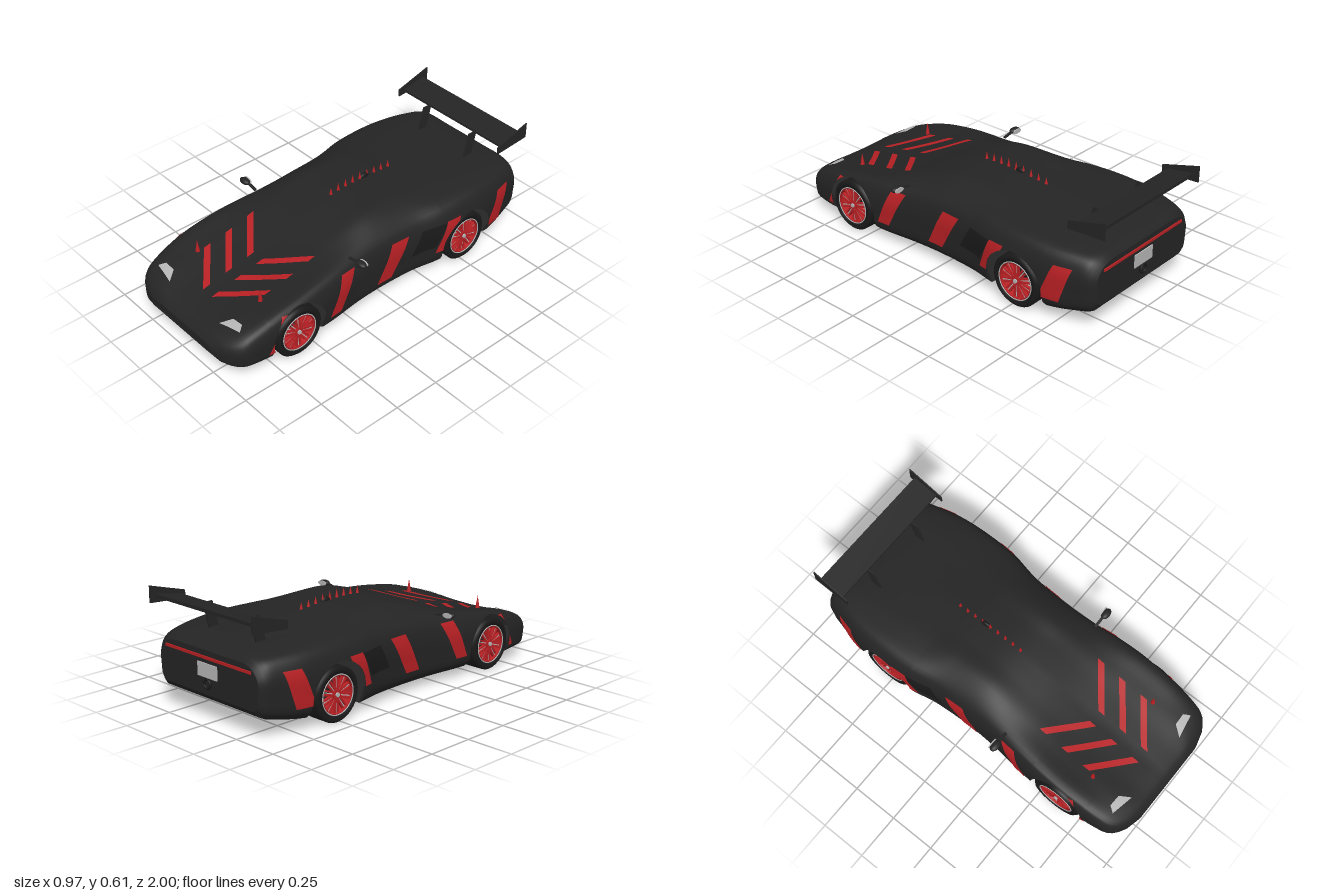
import * as THREE from 'three';

const mat = (name, color, side = THREE.FrontSide) => {
  const m = new THREE.MeshStandardMaterial({ color, side });
  m.name = name;
  return m;
};
const BLACK = mat('body black', 0x242424, THREE.DoubleSide);
const TRIM = mat('trim black', 0x1a1a1a, THREE.DoubleSide);
const RED = mat('red', 0xb82024, THREE.DoubleSide);
const SILVER = mat('silver', 0xb4b4b4, THREE.DoubleSide);

// Body stations: z, centre height, deck edge x, deck edge y, shoulder x, shoulder y, half width, bottom y
const STATIONS = [
  [1.0, 0.165, 0.15, 0.165, 0.22, 0.158, 0.24, 0.115],
  [0.98, 0.187, 0.2, 0.192, 0.29, 0.18, 0.315, 0.085],
  [0.93, 0.21, 0.26, 0.222, 0.36, 0.208, 0.385, 0.065],
  [0.86, 0.228, 0.28, 0.25, 0.385, 0.24, 0.41, 0.056],
  [0.7, 0.262, 0.28, 0.286, 0.4, 0.29, 0.428, 0.052],
  [0.52, 0.298, 0.28, 0.318, 0.4, 0.322, 0.432, 0.05],
  [0.37, 0.345, 0.26, 0.352, 0.39, 0.34, 0.425, 0.05],
  [0.2, 0.41, 0.26, 0.398, 0.375, 0.352, 0.405, 0.05],
  [0.02, 0.45, 0.25, 0.442, 0.37, 0.364, 0.398, 0.05],
  [-0.2, 0.452, 0.25, 0.442, 0.375, 0.376, 0.41, 0.05],
  [-0.36, 0.44, 0.27, 0.425, 0.4, 0.386, 0.44, 0.05],
  [-0.55, 0.425, 0.29, 0.415, 0.405, 0.39, 0.445, 0.053],
  [-0.72, 0.412, 0.29, 0.407, 0.395, 0.382, 0.432, 0.067],
  [-0.86, 0.4, 0.29, 0.396, 0.365, 0.372, 0.4, 0.09],
  [-0.93, 0.385, 0.28, 0.382, 0.345, 0.356, 0.38, 0.11],
  [-0.955, 0.36, 0.27, 0.357, 0.32, 0.336, 0.355, 0.14],
];
const ARCHES = [{ z: 0.6, r: 0.16 }, { z: -0.52, r: 0.17 }];
const AXLE_Y = 0.14;
const lerp = THREE.MathUtils.lerp;

// Smooth interpolation of the station table
function station(z) {
  const S = STATIONS, n = S.length;
  let i = 0;
  while (i < n - 2 && z < S[i + 1][0]) i++;
  const h = S[i + 1][0] - S[i][0], t = THREE.MathUtils.clamp((z - S[i][0]) / h, 0, 1);
  const slope = (k, c) => {
    const a = S[Math.max(k - 1, 0)], b = S[Math.min(k + 1, n - 1)];
    return (b[c] - a[c]) / (b[0] - a[0]);
  };
  return S[i].map((v, c) => {
    const w = S[i + 1][c], t2 = t * t, t3 = t2 * t;
    return v * (2 * t3 - 3 * t2 + 1) + w * (3 * t2 - 2 * t3) +
      h * (slope(i, c) * (t3 - 2 * t2 + t) + slope(i + 1, c) * (t3 - t2));
  });
}

// Half cross-section from the top centre down to the sill
function section(z) {
  const [, top, dx, dy, sx, sy, w, b] = station(z), h = sy - b;
  const pts = [[0, top], [dx * 0.5, lerp(top, dy, 0.35)], [dx, dy], [sx, sy], [w, sy - 0.25 * h],
    [w, sy - 0.6 * h], [w * 0.975, b + 0.12 * h], [w * 0.9, b]];
  return new THREE.CatmullRomCurve3(pts.map(([x, y]) => new THREE.Vector3(x, y, 0))).getPoints(35);
}
function topY(x, z) {
  const s = section(z);
  let i = 0;
  while (i < s.length - 2 && s[i + 1].x < Math.abs(x)) i++;
  return lerp(s[i].y, s[i + 1].y, (Math.abs(x) - s[i].x) / (s[i + 1].x - s[i].x));
}
function sideX(y, z, s = section(z)) {
  let i = s.length - 1;
  while (i > 1 && s[i - 1].y < y) i--;
  const t = (y - s[i].y) / (s[i - 1].y - s[i].y);
  return lerp(s[i].x, s[i - 1].x, THREE.MathUtils.clamp(t, 0, 1));
}

// Surface grid from a function of indices
function grid(nu, nv, fn, skip = () => false) {
  const pos = [], idx = [];
  for (let i = 0; i <= nu; i++) for (let j = 0; j <= nv; j++) pos.push(...fn(i, j));
  for (let i = 0; i < nu; i++) for (let j = 0; j < nv; j++) {
    if (skip((i + 0.5) / nu, (j + 0.5) / nv)) continue;
    const a = i * (nv + 1) + j, b = a + nv + 1;
    idx.push(a, a + 1, b, a + 1, b + 1, b);
  }
  const g = new THREE.BufferGeometry();
  g.setAttribute('position', new THREE.Float32BufferAttribute(pos, 3));
  g.setIndex(idx);
  g.computeVertexNormals();
  return g;
}
function add(parent, name, geo, material, x = 0, y = 0, z = 0) {
  const m = new THREE.Mesh(geo, material);
  m.name = name;
  m.position.set(x, y, z);
  parent.add(m);
  return m;
}

function buildBody(car) {
  const zs = [];
  for (let i = 0; i <= 90; i++) zs.push(lerp(1, -0.955, i / 90));
  for (const a of ARCHES) for (const s of [-1, 1]) for (const d of [0.001, -0.001, -0.004, -0.01]) zs.push(a.z + s * (a.r + d));
  zs.sort((p, q) => q - p);
  const archAt = z => ARCHES.find(a => Math.abs(z - a.z) < a.r);
  const rows = zs.map(z => {
    const s = section(z), a = archAt(z);
    if (!a) return s;
    const y = AXLE_Y + Math.sqrt(a.r ** 2 - (z - a.z) ** 2), x = sideX(y, z, s);
    return s.map((p, j) => (j > 12 && p.y < y ? new THREE.Vector3(x, y, 0) : p));
  });
  // Shell, open at the wheel arches
  add(car, 'bodyShell', grid(zs.length - 1, 70, (i, j) => {
    const p = rows[i][Math.abs(j - 35)];
    return [j < 35 ? -p.x : p.x, p.y, zs[i]];
  }), BLACK);
  add(car, 'floor', grid(zs.length - 1, 1, (i, j) => {
    const st = station(zs[i]), x = archAt(zs[i]) ? 0.29 : st[6] * 0.9;
    return [j ? -x : x, st[7], zs[i]];
  }), BLACK);
  // Flat ends
  for (const [name, z, turn] of [['noseCap', 1, 0], ['tailCap', -0.955, Math.PI]]) {
    const s = section(z);
    const outline = [...s.map(p => new THREE.Vector2(p.x, p.y)), ...s.slice(1).reverse().map(p => new THREE.Vector2(-p.x, p.y))];
    add(car, name, new THREE.ShapeGeometry(new THREE.Shape(outline)), BLACK, 0, 0, z).rotation.y = turn;
  }
}

// Thin panel lying on the upper body; corners are [x, z]
function topPatch(car, name, [a, b, c, d], material) {
  const n = 14;
  add(car, name, grid(n, n, (i, j) => {
    const u = i / n, v = j / n;
    const at = k => lerp(lerp(a[k], b[k], u), lerp(d[k], c[k], u), v);
    return [at(0), topY(at(0), at(1)) + 0.004, at(1)];
  }), material);
}
// Slanted band on the flank, cut away at the arches
function sideBand(car, name, side, [y0, y1], [b0, b1], [t0, t1], material, lift = 0.004) {
  const nu = 40, nv = 24;
  const zAt = (u, v) => lerp(lerp(b0, b1, v), lerp(t0, t1, v), u);
  add(car, name, grid(nu, nv, (i, j) => {
    const y = lerp(y0, y1, i / nu), z = zAt(i / nu, j / nv);
    return [side * (sideX(y, z) + lift), y, z];
  }, (u, v) => ARCHES.some(a => Math.hypot(zAt(u, v) - a.z, lerp(y0, y1, u) - AXLE_Y) < a.r)), material);
}

function buildWheel(car, side, z, label) {
  const wheel = new THREE.Group();
  wheel.name = label;
  wheel.position.set(side * 0.367, AXLE_Y, z);
  wheel.rotation.y = side > 0 ? 0 : Math.PI;
  car.add(wheel);
  const lathe = pts => new THREE.LatheGeometry(pts.map(p => new THREE.Vector2(...p)), 48).rotateZ(-Math.PI / 2);
  // Tyre with tread grooves
  const tread = [];
  for (const y of [-0.03, -0.01, 0.01, 0.03]) tread.push([0.139, y - 0.004], [0.133, y - 0.003], [0.133, y + 0.003], [0.139, y + 0.004]);
  add(wheel, 'tyre', lathe([[0.1, -0.056], [0.126, -0.062], [0.139, -0.05], ...tread, [0.139, 0.05], [0.126, 0.062], [0.1, 0.056], [0.1, -0.056]]), TRIM);
  add(wheel, 'rim', lathe([[0.092, -0.05], [0.101, -0.052], [0.101, 0.057], [0.092, 0.055], [0.092, -0.05]]), RED);
  add(wheel, 'rimEdge', new THREE.TorusGeometry(0.1, 0.003, 6, 48).rotateY(Math.PI / 2), SILVER, 0.057);
  // Spokes in pairs, each with a bright strip
  for (let i = 0; i < 10; i++) {
    const spoke = new THREE.Group();
    spoke.name = 'spoke';
    spoke.rotation.x = (i / 10) * Math.PI * 2;
    wheel.add(spoke);
    for (const s of [-1, 1]) add(spoke, 'spokeBar', new THREE.BoxGeometry(0.014, 0.08, 0.008), RED, 0.042, 0.056, s * 0.009).rotation.x = s * 0.07;
    add(spoke, 'spokeStrip', new THREE.BoxGeometry(0.006, 0.075, 0.004), SILVER, 0.042, 0.056, 0);
  }
  add(wheel, 'hub', new THREE.CylinderGeometry(0.025, 0.025, 0.03, 20).rotateZ(Math.PI / 2), RED, 0.037);
  add(wheel, 'hubCap', new THREE.CylinderGeometry(0.011, 0.011, 0.012, 16).rotateZ(Math.PI / 2), SILVER, 0.054);
}

function buildWing(car) {
  const wing = new THREE.Group();
  wing.name = 'rearWing';
  car.add(wing);
  const plate = (pts, t) => {
    const s = new THREE.Shape(pts.map(([z, y]) => new THREE.Vector2(-z, y)));
    return new THREE.ExtrudeGeometry(s, { depth: t, bevelEnabled: false }).translate(0, 0, -t / 2).rotateY(Math.PI / 2);
  };
  add(wing, 'wingBlade', plate([[-0.82, 0.53], [-0.965, 0.548], [-0.965, 0.565], [-0.82, 0.542]], 0.74), BLACK);
  for (const s of [-1, 1]) {
    add(wing, 'endPlate', plate([[-0.786, 0.51], [-0.998, 0.525], [-0.998, 0.612], [-0.786, 0.552]], 0.006), BLACK, s * 0.371);
    add(wing, 'wingStay', plate([[-0.74, 0.39], [-0.8, 0.39], [-0.835, 0.536], [-0.78, 0.536]], 0.008), BLACK, s * 0.17);
  }
}

export function createModel() {
  const car = new THREE.Group();
  car.name = 'sportsCar';
  buildBody(car);
  buildWing(car);

  for (const s of [-1, 1]) {
    // Bonnet chevrons and headlights
    for (let i = 0; i < 3; i++) {
      const z = 0.35 + i * 0.138;
      topPatch(car, 'bonnetStripe', [[s * 0.24, z], [s * 0.035, z + 0.163], [s * 0.035, z + 0.205], [s * 0.24, z + 0.042]], RED);
    }
    topPatch(car, 'headlight', [[s * 0.305, 0.855], [s * 0.24, 0.857], [s * 0.2, 0.912], [s * 0.328, 0.888]], SILVER);
    add(car, 'bonnetSpike', new THREE.ConeGeometry(0.012, 0.07, 12), RED, s * 0.25, 0.317, 0.7);

    // Flank bands and intake
    sideBand(car, 'noseBand', s, [0.1, 0.285], [0.79, 0.71], [0.7, 0.62], RED);
    sideBand(car, 'doorBandFront', s, [0.12, 0.325], [0.41, 0.335], [0.32, 0.23], RED);
    sideBand(car, 'doorBandRear', s, [0.12, 0.325], [0.075, -0.02], [-0.025, -0.135], RED);
    sideBand(car, 'archBand', s, [0.145, 0.32], [-0.3, -0.38], [-0.37, -0.46], RED);
    sideBand(car, 'tailBand', s, [0.13, 0.325], [-0.67, -0.78], [-0.75, -0.845], RED);
    sideBand(car, 'sideIntake', s, [0.185, 0.315], [-0.15, -0.3], [-0.22, -0.37], TRIM, 0.002);

    // Door mirrors
    const mirror = new THREE.Group();
    mirror.name = s > 0 ? 'leftMirror' : 'rightMirror';
    car.add(mirror);
    add(mirror, 'mirrorShell', new THREE.SphereGeometry(1, 20, 12).scale(0.034, 0.016, 0.022), BLACK, s * 0.452, 0.38, 0.237);
    add(mirror, 'mirrorGlass', new THREE.CylinderGeometry(1, 1, 0.006, 20).rotateX(Math.PI / 2).scale(0.029, 0.013, 1), SILVER, s * 0.452, 0.38, 0.218);
    add(mirror, 'mirrorArm', new THREE.BoxGeometry(0.07, 0.008, 0.014), BLACK, s * 0.4, 0.374, 0.235).rotation.z = s * 0.2;

    buildWheel(car, s, 0.604, 'frontWheel');
    buildWheel(car, s, -0.52, 'rearWheel');
  }
  for (const z of [0.604, -0.52]) add(car, 'axle', new THREE.CylinderGeometry(0.014, 0.014, 0.72, 12).rotateZ(Math.PI / 2), TRIM, 0, AXLE_Y, z);

  // Roof spikes and scoop
  for (let i = 0; i < 9; i++) {
    const z = 0.035 - i * 0.049, h = 0.05 - 0.002 * Math.abs(i - 3);
    add(car, 'roofSpike', new THREE.ConeGeometry(0.009, h, 10), RED, 0, topY(0, z) + h / 2 - 0.004, z);
  }
  add(car, 'roofScoop', new THREE.SphereGeometry(1, 16, 10).scale(0.012, 0.02, 0.03), TRIM, 0, 0.453, -0.19);

  // Tail light, plate and exhaust
  add(car, 'tailLight', new THREE.BoxGeometry(0.62, 0.014, 0.008), RED, 0, 0.325, -0.957);
  add(car, 'rearPlate', new THREE.BoxGeometry(0.14, 0.07, 0.008), SILVER, 0, 0.262, -0.957);
  add(car, 'exhaust', new THREE.TorusGeometry(0.022, 0.006, 8, 24), TRIM, 0, 0.197, -0.96);
  return car;
}
